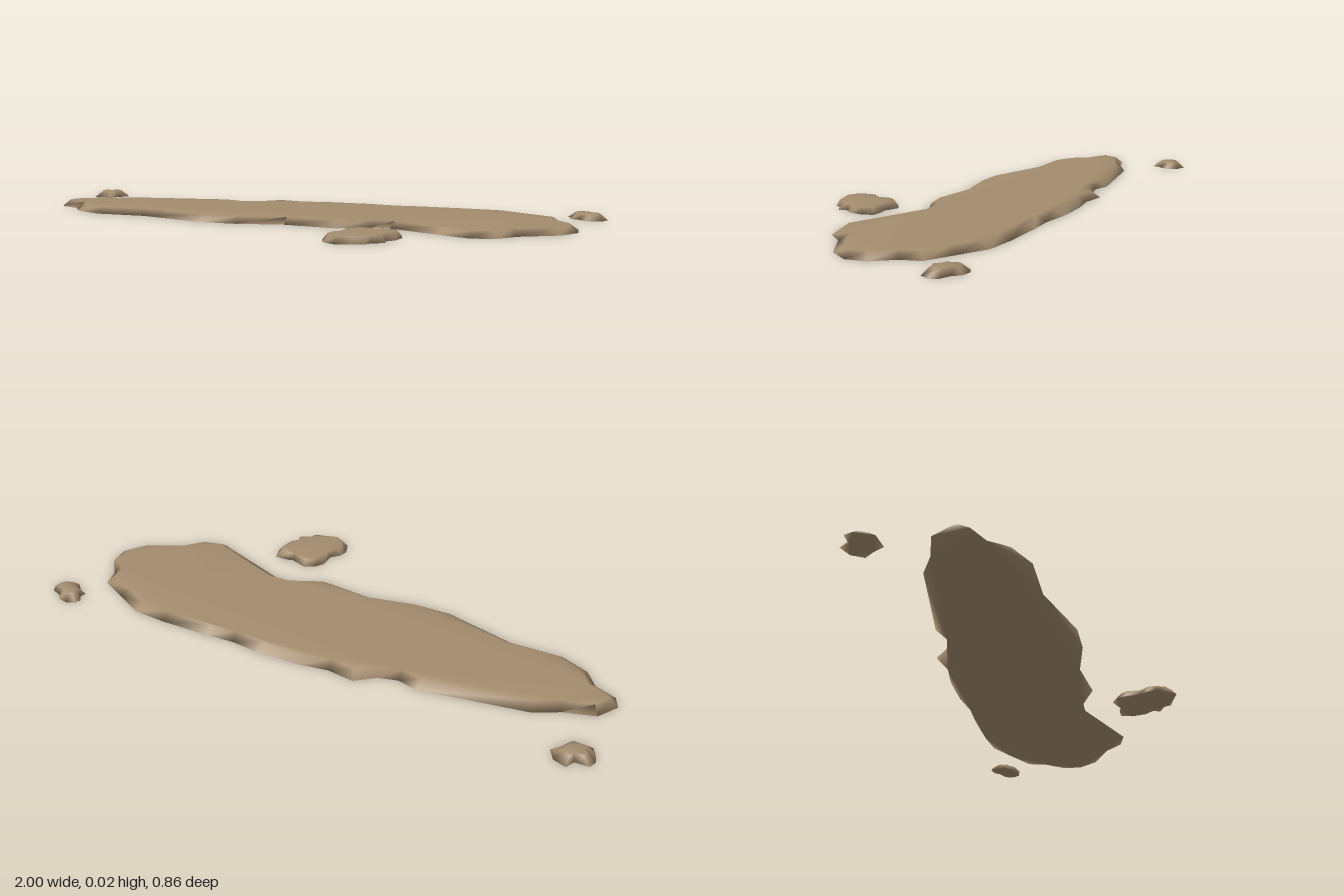
import * as THREE from 'three';

const HEIGHT = 0.022;

// Outlines as x, z pairs, clockwise seen from above
const MAIN = [
  -.99, -.10, -.945, -.17, -.84, -.20, -.755, -.243, -.40, -.297, -.33, -.278, -.265, -.294, -.20, -.345,
  -.105, -.33, 0, -.345, .147, -.345, .254, -.332, .35, -.337, .527, -.335, .645, -.325, .75, -.27,
  .848, -.217, .863, -.152, .917, -.083, .922, -.013, .87, .056, .745, .12, .687, .18, .607, .20,
  .5, .158, .323, .086, .26, .088, .147, .136, -.035, .115, -.2, .147, -.33, .147, -.575, .078,
  -.757, .078, -.853, .035, -.896, -.024, -.97, -.056,
];
const FRONT = [
  .265, .195, .323, .218, .345, .212, .393, .212, .405, .255, .393, .305, .365, .335, .377, .36, .335, .377,
  .323, .403, .28, .413, .228, .428, .19, .405, .174, .36, .18, .33, .21, .297, .21, .243, .228, .217,
];
const BACK_RIGHT = [
  -.99, -.404, -.943, -.404, -.928, -.436, -.885, -.42, -.863, -.382,
  -.89, -.35, -.912, -.313, -.975, -.318, -.99, -.345, -1, -.377,
];
const BACK_LEFT = [
  .87, -.377, .897, -.388, .933, -.382, .95, -.36, .987, -.345, 1, -.318,
  .982, -.286, .928, -.273, .9, -.302, .87, -.313, .876, -.335, .86, -.357,
];

// Top rim pulled in by a fixed distance along the edge normal
const insetBy = (distance) => (pts) => pts.map((p, i) => {
  const prev = pts[(i + pts.length - 1) % pts.length];
  const next = pts[(i + 1) % pts.length];
  const t = next.clone().sub(prev).normalize();
  return new THREE.Vector2(p.x - t.y * distance, p.y + t.x * distance);
});

// Top rim shrunk towards the middle of the blob
const shrinkBy = (factor) => (pts) => {
  const mid = new THREE.Box2().setFromPoints(pts).getCenter(new THREE.Vector2());
  return pts.map((p) => p.clone().sub(mid).multiplyScalar(factor).add(mid));
};

// Flat slab with sloping sides and softly shaded edges
function puddleGeometry(outline, makeRim) {
  const base = [];
  for (let i = 0; i < outline.length; i += 2) base.push(new THREE.Vector2(outline[i], -outline[i + 1]));
  if (THREE.ShapeUtils.isClockWise(base)) base.reverse();
  const rim = makeRim(base);
  const n = base.length;
  const positions = [];
  base.forEach((p) => positions.push(p.x, 0, -p.y));
  rim.forEach((p) => positions.push(p.x, HEIGHT, -p.y));

  const index = [];
  for (let i = 0; i < n; i++) {
    const j = (i + 1) % n;
    index.push(i, j, n + j, i, n + j, n + i);
  }
  for (const [a, b, c] of THREE.ShapeUtils.triangulateShape(rim, [])) index.push(n + a, n + b, n + c);
  for (const [a, b, c] of THREE.ShapeUtils.triangulateShape(base, [])) index.push(a, c, b);

  const geometry = new THREE.BufferGeometry();
  geometry.setAttribute('position', new THREE.Float32BufferAttribute(positions, 3));
  geometry.setIndex(index);
  geometry.computeVertexNormals();
  return geometry;
}

export function createModel() {
  const group = new THREE.Group();
  group.name = 'mudPuddles';
  const mud = new THREE.MeshStandardMaterial({ color: 0xa38c6e });
  mud.name = 'mud brown';

  const parts = [
    ['mainPuddle', MAIN, insetBy(0.032)],
    ['frontPuddle', FRONT, shrinkBy(0.86)],
    ['backRightSplash', BACK_RIGHT, shrinkBy(0.55)],
    ['backLeftSplash', BACK_LEFT, shrinkBy(0.6)],
  ];
  for (const [name, outline, makeRim] of parts) {
    const mesh = new THREE.Mesh(puddleGeometry(outline, makeRim), mud);
    mesh.name = name;
    group.add(mesh);
  }
  return group;
}
